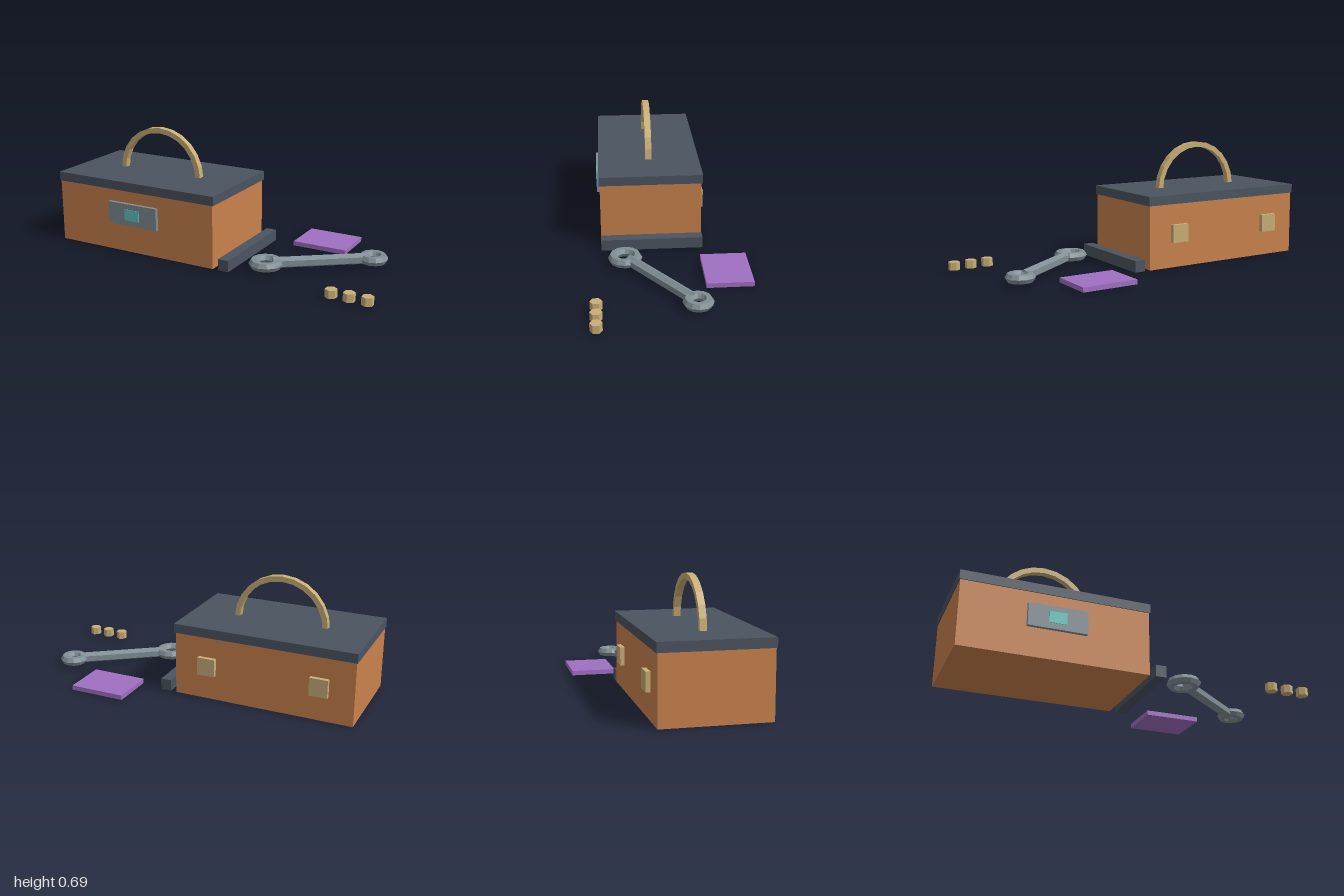
import * as THREE from 'three';

const paint = (name, color) => {
  const m = new THREE.MeshStandardMaterial({ color });
  m.name = name;
  return m;
};

// Faceted normals for the low-poly look
const flat = (geometry) => {
  const g = geometry.index ? geometry.toNonIndexed() : geometry;
  g.computeVertexNormals();
  return g;
};

export function createModel() {
  const orange = paint('orange', 0xc9824d);
  const slate = paint('slate', 0x4b5460);
  const brass = paint('brass', 0xc9ae76);
  const steel = paint('steel', 0x818e96);
  const teal = paint('teal', 0x5fcac2);
  const purple = paint('purple', 0xa070c2);

  const model = new THREE.Group();
  model.name = 'toolboxSet';

  const add = (name, geometry, material, x, y, z, parent = model) => {
    const mesh = new THREE.Mesh(flat(geometry), material);
    mesh.name = name;
    mesh.position.set(x, y, z);
    parent.add(mesh);
    return mesh;
  };
  // Box given by its minimum and maximum on each axis
  const box = (name, material, [x0, x1], [y0, y1], [z0, z1], parent) =>
    add(name, new THREE.BoxGeometry(x1 - x0, y1 - y0, z1 - z0), material,
      (x0 + x1) / 2, (y0 + y1) / 2, (z0 + z1) / 2, parent);

  // Toolbox with lid, latch and hinges
  const toolbox = new THREE.Group();
  toolbox.name = 'toolbox';
  model.add(toolbox);
  box('body', orange, [-0.995, 0.05], [0, 0.37], [-0.211, 0.378], toolbox);
  box('lid', slate, [-1, 0.058], [0.368, 0.421], [-0.218, 0.383], toolbox);
  box('latchPlate', steel, [-0.637, -0.308], [0.166, 0.297], [0.37, 0.398], toolbox);
  box('latchButton', teal, [-0.522, -0.424], [0.2, 0.265], [0.394, 0.401], toolbox);
  for (const x of [-0.801, -0.146])
    box('hinge', brass, [x - 0.052, x + 0.052], [0.147, 0.25], [-0.236, -0.205], toolbox);

  // Arched carrying handle with a rectangular section
  const arch = new THREE.Shape();
  arch.absarc(0, 0, 0.278, 0, Math.PI, false);
  arch.absarc(0, 0, 0.247, Math.PI, 0, true);
  add('handle', new THREE.ExtrudeGeometry(arch, { depth: 0.038, bevelEnabled: false, curveSegments: 6 }),
    brass, -0.472, 0.41, 0.064, toolbox);

  // Loose bar and panel lying beside the box
  box('bar', slate, [0.085, 0.148], [0, 0.066], [-0.211, 0.378]);
  box('panel', purple, [0.281, 0.608], [0, 0.027], [-0.441, -0.181]);

  // Ring wrench: two hexagonal-section rings joined by a hexagonal shaft
  const wrench = new THREE.Group();
  wrench.name = 'wrench';
  model.add(wrench);
  const a = new THREE.Vector3(0.313, 0.041, 0.245);
  const b = new THREE.Vector3(0.805, 0.041, -0.115);
  const length = a.distanceTo(b);
  const angle = Math.atan2(a.z - b.z, b.x - a.x);
  for (const [p, radius] of [[a, 0.07], [b, 0.056]])
    add('wrenchRing', new THREE.TorusGeometry(radius, 0.027, 6, 12).rotateX(-Math.PI / 2),
      steel, p.x, p.y, p.z, wrench);
  const shaft = new THREE.CylinderGeometry(0.033, 0.033, length - 0.078, 6)
    .rotateY(Math.PI / 2).rotateZ(-Math.PI / 2).rotateY(angle);
  const mid = a.clone().lerp(b, 0.5);
  add('wrenchShaft', shaft, steel, mid.x, mid.y, mid.z, wrench);

  // Row of hexagonal nuts
  for (const x of [0.772, 0.872, 0.971])
    add('nut', new THREE.CylinderGeometry(0.033, 0.033, 0.046, 6), brass, x, 0.023, 0.41);

  return model;
}
